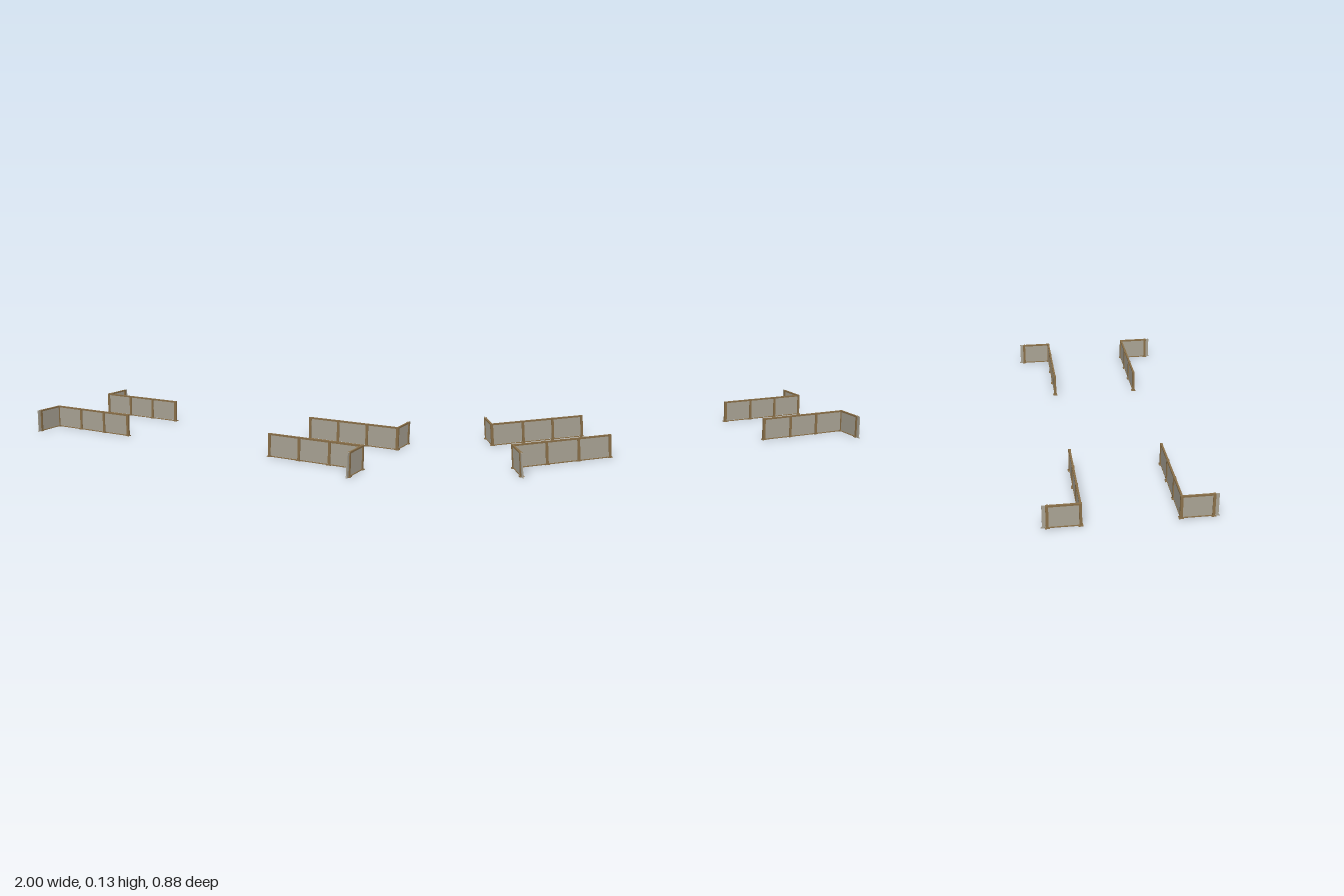
import * as THREE from 'three';

const HEIGHT = 0.126;
const WALL_Z = 0.245;          // line of the long wall
const CORNER_X = 0.988;        // line of the short return wall
const RETURN_END = 0.406;      // last post of the return wall
const POST_X = [0.988, 0.812, 0.64, 0.467];

export function createModel() {
  const model = new THREE.Group();
  const wood = new THREE.MeshStandardMaterial({ color: 0x8a7049 });
  wood.name = 'brown frame';
  const board = new THREE.MeshStandardMaterial({ color: 0xaaa495 });
  board.name = 'grey beige panel';

  const box = (group, name, material, size, position) => {
    const mesh = new THREE.Mesh(new THREE.BoxGeometry(...size), material);
    mesh.position.set(...position);
    mesh.name = name;
    group.add(mesh);
  };

  // Post with a flat square foot
  const post = (group, x, z) => {
    box(group, 'post', wood, [0.014, HEIGHT, 0.014], [x, HEIGHT / 2, z]);
    box(group, 'foot', wood, [0.024, 0.004, 0.024], [x, 0.002, z]);
  };

  // Panel between two posts, with top and bottom rails
  const bay = (group, x1, z1, x2, z2) => {
    const length = Math.abs(x2 - x1) + Math.abs(z2 - z1);
    const x = (x1 + x2) / 2, z = (z1 + z2) / 2;
    const alongX = x1 !== x2;
    const size = (height, depth) => alongX ? [length, height, depth] : [depth, height, length];
    box(group, 'panel', board, size(HEIGHT - 0.012, 0.004), [x, HEIGHT / 2, z]);
    box(group, 'topRail', wood, size(0.009, 0.01), [x, HEIGHT - 0.0045, z]);
    box(group, 'bottomRail', wood, size(0.004, 0.008), [x, 0.002, z]);
  };

  // Narrow end fin with a flared toe, drawn in z (as shape x) and y
  const fin = (group, sx, sz) => {
    const shape = new THREE.Shape([
      [0.41, 0], [0.438, 0], [0.436, 0.004], [0.431, 0.009], [0.431, HEIGHT], [0.41, HEIGHT],
    ].map(([z, y]) => new THREE.Vector2(z, y)));
    const geometry = new THREE.ExtrudeGeometry(shape, { depth: 0.006, bevelEnabled: false });
    geometry.translate(0, 0, -0.003);
    geometry.rotateY(-sz * Math.PI / 2);
    const mesh = new THREE.Mesh(geometry, board);
    mesh.position.x = sx * CORNER_X;
    mesh.name = 'endFin';
    group.add(mesh);
  };

  // Four L-shaped barriers, mirrored about both axes
  for (const sx of [1, -1]) {
    for (const sz of [1, -1]) {
      const barrier = new THREE.Group();
      barrier.name = (sz > 0 ? 'front' : 'back') + (sx > 0 ? 'Left' : 'Right') + 'Barrier';
      POST_X.forEach((x, i) => {
        post(barrier, sx * x, sz * WALL_Z);
        if (i > 0) bay(barrier, sx * POST_X[i - 1], sz * WALL_Z, sx * x, sz * WALL_Z);
      });
      post(barrier, sx * CORNER_X, sz * RETURN_END);
      bay(barrier, sx * CORNER_X, sz * WALL_Z, sx * CORNER_X, sz * RETURN_END);
      fin(barrier, sx, sz);
      model.add(barrier);
    }
  }
  return model;
}
